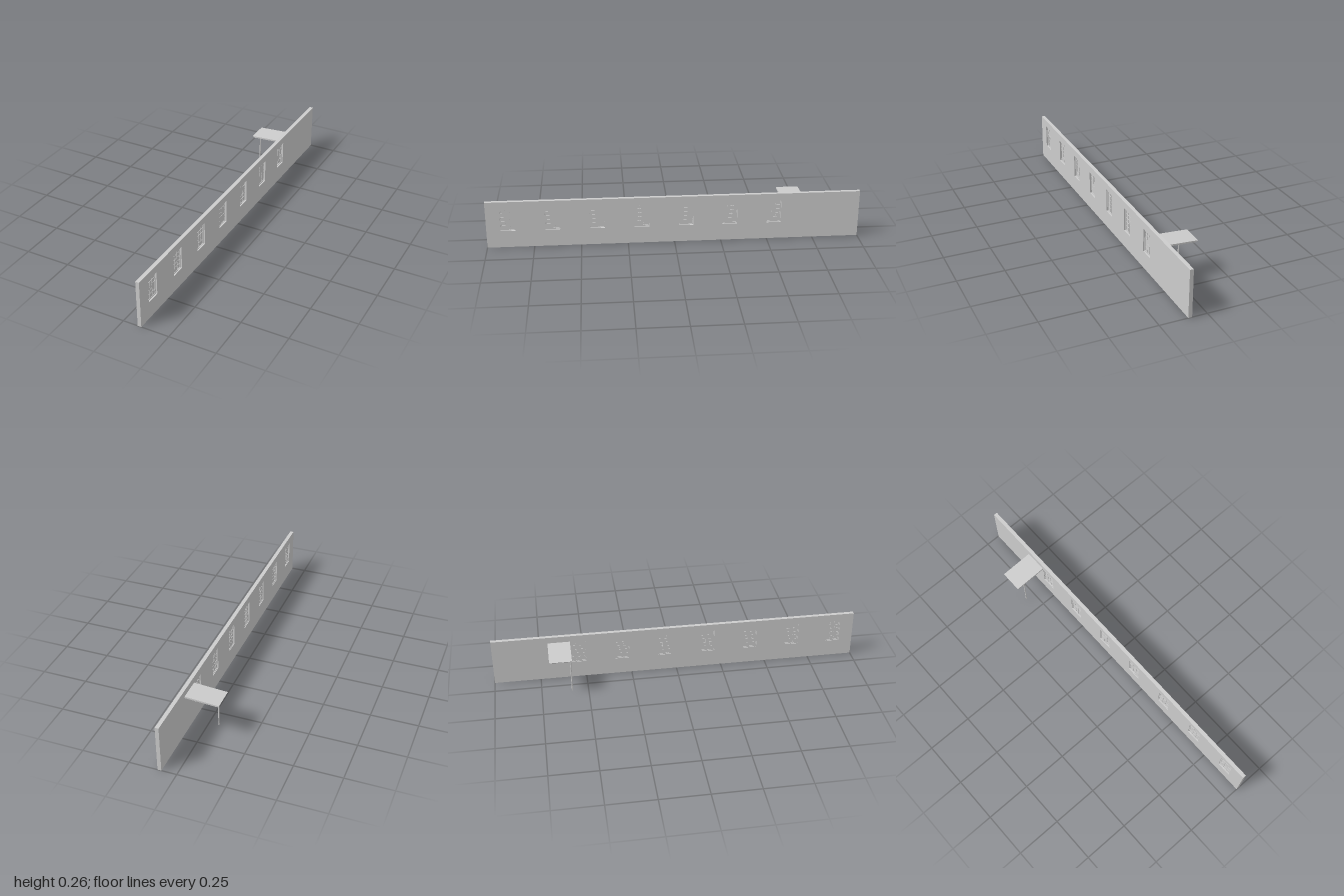
import * as THREE from 'three';

const material = new THREE.MeshStandardMaterial({ color: 0xcccccc, flatShading: true });

function add(parent, name, geometry, x = 0, y = 0, z = 0) {
  const mesh = new THREE.Mesh(geometry, material);
  mesh.name = name;
  mesh.position.set(x, y, z);
  parent.add(mesh);
  return mesh;
}

const box = (w, h, d) => new THREE.BoxGeometry(w, h, d);

const WALL = { x0: 0.08, x1: 0.1, height: 0.26, plinth: 0.025 };
const WIN = { width: 0.078, bottom: 0.094, top: 0.221, count: 7, first: 0.886, pitch: 0.237 };
WIN.height = WIN.top - WIN.bottom;
const windowZ = Array.from({ length: WIN.count }, (_, i) => WIN.first - i * WIN.pitch);

// Rectangle outline from corner to corner
function rectangle(target, x0, y0, x1, y1) {
  target.moveTo(x0, y0);
  target.lineTo(x1, y0);
  target.lineTo(x1, y1);
  target.lineTo(x0, y1);
  target.closePath();
  return target;
}

// Long wall pierced by the window openings, drawn along -z and extruded along x
function wallGeometry() {
  const shape = rectangle(new THREE.Shape(), -1, WALL.plinth, 1, WALL.height);
  for (const z of windowZ) {
    shape.holes.push(rectangle(new THREE.Path(),
      -z - WIN.width / 2, WIN.bottom, -z + WIN.width / 2, WIN.top));
  }
  const geometry = new THREE.ExtrudeGeometry(shape, { depth: WALL.x1 - WALL.x0, bevelEnabled: false });
  geometry.rotateY(Math.PI / 2);
  return geometry.translate(WALL.x0, 0, 0);
}

// Window: frame, glass pane and a lattice of glazing bars
function createWindow() {
  const group = new THREE.Group();
  group.name = 'window';
  const { width, height } = WIN;
  const frame = 0.005, bar = 0.0025, columns = 3, rows = 5;
  add(group, 'pane', box(0.002, height, width));
  for (const side of [-1, 1]) {
    add(group, 'frameStile', box(0.008, height, frame), 0, 0, side * (width - frame) / 2);
    add(group, 'frameRail', box(0.008, frame, width - 2 * frame), 0, side * (height - frame) / 2, 0);
  }
  const innerW = width - 2 * frame, innerH = height - 2 * frame;
  for (let i = 1; i < columns; i++) {
    add(group, 'verticalBar', box(0.006, innerH, bar), 0, 0, (i / columns - 0.5) * innerW);
  }
  for (let j = 1; j < rows; j++) {
    add(group, 'horizontalBar', box(0.005, bar, innerW), 0, (j / rows - 0.5) * innerH, 0);
  }
  return group;
}

// Sloping canopy slab with a slanted outer edge
function canopyGeometry() {
  const shape = new THREE.Shape([
    new THREE.Vector2(-0.1, 0.215),
    new THREE.Vector2(-0.091, 0.207),
    new THREE.Vector2(0.08, 0.217),
    new THREE.Vector2(0.08, 0.226),
  ]);
  return new THREE.ExtrudeGeometry(shape, { depth: 0.12, bevelEnabled: false }).translate(0, 0, -0.7);
}

export function createModel() {
  const model = new THREE.Group();
  model.name = 'wallWithCanopy';
  const thickness = WALL.x1 - WALL.x0;

  add(model, 'wall', wallGeometry());
  add(model, 'plinth', box(thickness, WALL.plinth, 2), WALL.x0 + thickness / 2, WALL.plinth / 2, 0);

  for (const z of windowZ) {
    const unit = createWindow();
    unit.position.set(0.088, (WIN.bottom + WIN.top) / 2, z);
    model.add(unit);
  }

  // Canopy with its single post under the outer corner
  add(model, 'canopy', canopyGeometry());
  add(model, 'canopyPost', new THREE.CylinderGeometry(0.0035, 0.0035, 0.21, 12), -0.052, 0.105, -0.587);

  return model;
}
